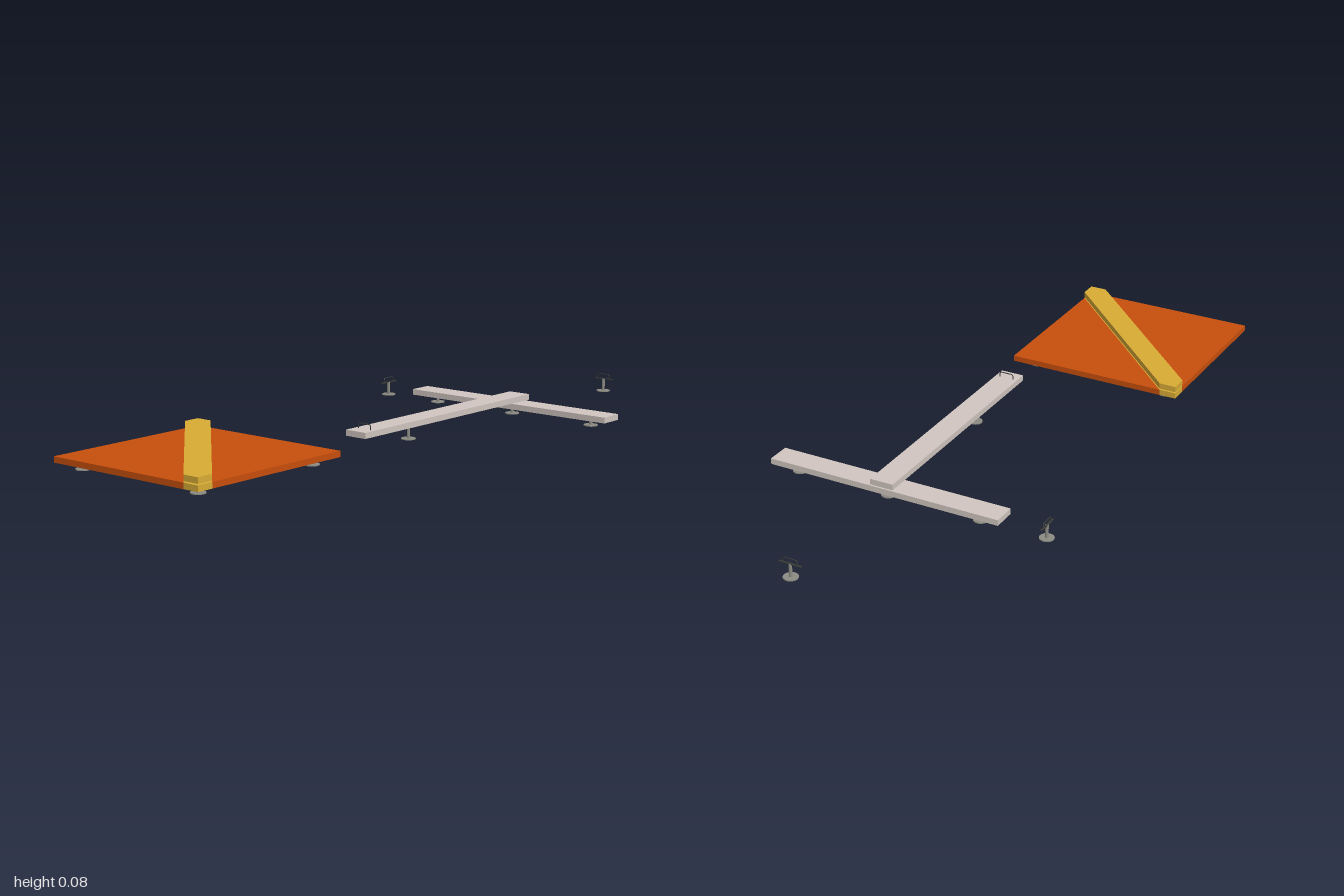
import * as THREE from 'three';

const mat = (color) => new THREE.MeshStandardMaterial({ color });

export function createModel() {
  const root = new THREE.Group();
  const orange = mat(0xc84f0c), yellow = mat(0xd9ad35), pale = mat(0xd1c6c0);
  const steel = mat(0x8c8c84), dark = mat(0x3a3c38);

  const add = (parent, name, geo, material, x = 0, y = 0, z = 0) => {
    const m = new THREE.Mesh(geo, material);
    m.name = name;
    m.position.set(x, y, z);
    parent.add(m);
    return m;
  };

  // Horizontal slab from an outline of [x, z] points
  const slab = (name, pts, y0, y1, material) => {
    const shape = new THREE.Shape(pts.map(([x, z]) => new THREE.Vector2(x, -z)));
    const geo = new THREE.ExtrudeGeometry(shape, { depth: y1 - y0, bevelEnabled: false });
    geo.rotateX(-Math.PI / 2);
    return add(root, name, geo, material, 0, y0, 0);
  };
  const rect = (x0, x1, z0, z1) => [[x0, z0], [x1, z0], [x1, z1], [x0, z1]];

  // Layer heights
  const L0 = 0.021, L1 = 0.039, U0 = 0.043, U1 = 0.061;

  // Square panel: two corner triangles split by a diagonal strip
  const x0 = -0.413, x1 = 0.15, z0 = 0.437, z1 = 1, c = 0.053;
  const strip = [[x0, z0], [x0 + c, z0], [x1, z1 - c], [x1, z1], [x1 - c, z1], [x0, z0 + c]];
  slab('panelBackTriangle', [[x0 + c, z0], [x1, z0], [x1, z1 - c]], L0, L1, orange);
  slab('panelFrontTriangle', [[x0, z0 + c], [x1 - c, z1], [x0, z1]], L0, L1, orange);
  slab('panelDiagonal', strip, L0, L1, yellow);
  slab('raisedDiagonal', strip, U0, U1, yellow);

  // T-shaped pair of planks
  slab('crossPlank', rect(-0.3, 0.45, -0.508, -0.433), L0, L1, pale);
  slab('longPlank', rect(0.038, 0.112, -0.508, 0.285), U0, U1, pale);

  // Foot: thin round base and a post
  const foot = (parent, x, z, height) => {
    const g = new THREE.Group();
    g.name = 'foot';
    g.position.set(x, 0, z);
    add(g, 'footBase', new THREE.CylinderGeometry(0.022, 0.022, 0.003, 24), steel, 0, 0.0015, 0);
    add(g, 'footPost', new THREE.CylinderGeometry(0.005, 0.005, height, 16), steel, 0, height / 2, 0);
    parent.add(g);
    return g;
  };
  for (const x of [-0.356, 0.094]) for (const z of [0.494, 0.944]) foot(root, x, z, L0);
  for (const x of [-0.225, 0.075, 0.375]) foot(root, x, -0.47, L0);
  foot(root, 0.075, 0.045, U0);

  // Thin wire handle with rounded corners, standing on y = 0
  const handleGeometry = (w, h) => {
    const r = 0.008, p = new THREE.CurvePath();
    const v = (x, y) => new THREE.Vector3(x, y, 0);
    p.add(new THREE.LineCurve3(v(-w, 0), v(-w, h - r)));
    p.add(new THREE.QuadraticBezierCurve3(v(-w, h - r), v(-w, h), v(r - w, h)));
    p.add(new THREE.LineCurve3(v(r - w, h), v(w - r, h)));
    p.add(new THREE.QuadraticBezierCurve3(v(w - r, h), v(w, h), v(w, h - r)));
    p.add(new THREE.LineCurve3(v(w, h - r), v(w, 0)));
    return new THREE.TubeGeometry(p, 48, 0.0015, 8);
  };
  add(root, 'plankHandle', handleGeometry(0.023, 0.016), dark, 0.075, U1, 0.245);

  // Separate stands: foot, short bar and handle
  for (const [x, z, turn] of [[0.075, -0.978, 0], [-0.433, -0.47, Math.PI / 2]]) {
    const g = foot(root, x, z, 0.0425);
    g.name = 'stand';
    g.rotation.y = turn;
    add(g, 'standBar', new THREE.BoxGeometry(0.072, 0.003, 0.006), dark, 0, 0.042, 0);
    add(g, 'standHandle', handleGeometry(0.023, 0.015), dark, 0, 0.0425, 0);
  }
  return root;
}
